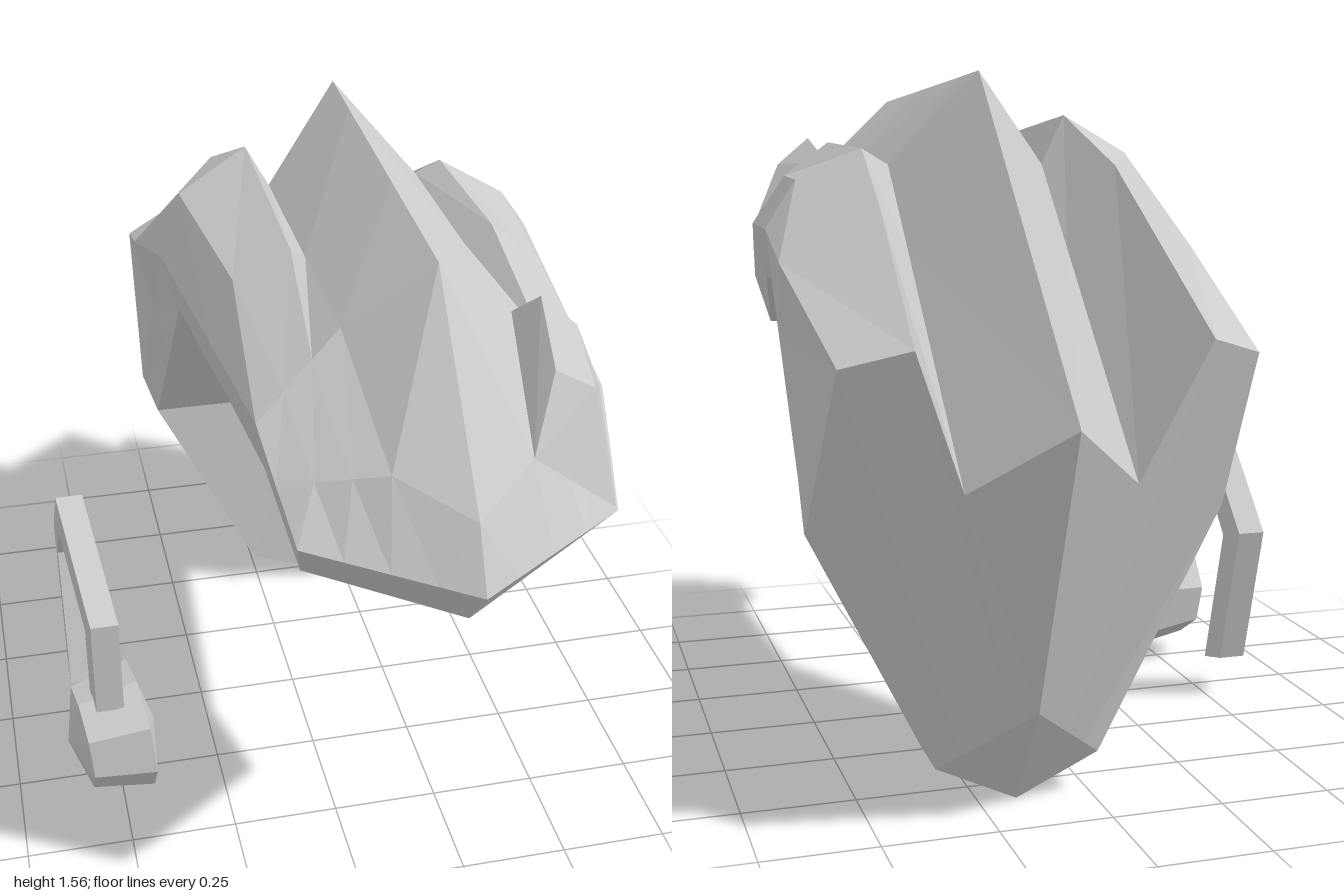
import * as THREE from 'three';
import { ConvexGeometry } from 'three/addons/geometries/ConvexGeometry.js';

const grey = new THREE.MeshStandardMaterial({ color: 0xcccccc, flatShading: true, side: THREE.DoubleSide });
const MID = 0.165; // x of the hairpiece's centre line

// Half cross-section of points [offset from centre, y, z]: ridge, valley, lock top, lock side,
// outer rim, inner rim, underside middle. Missing top points run straight down to the rim.
function section(tops, rim, inner, under = [0, inner[1], inner[2]]) {
  const last = tops[tops.length - 1];
  const steps = 5 - tops.length;
  const fill = [];
  for (let k = 1; k < steps; k++) fill.push(last.map((v, a) => v + (rim[a] - v) * k / steps));
  return [...tops, ...fill, rim, inner, under];
}

// Sections from brow to nape; lock = [top, side] points of the raised side lock
function hairSections(lock) {
  const napeRim = [.183, .095, -.6], napeInner = [.18, .095, -.46], napeUnder = [0, .035, -.445];
  return [
    section([[0, .99, 1]], [.333, 1.03, .82], [.307, .912, .727], [0, .873, .905]),
    section([[0, 1.12, .93], [.145, 1.175, .815]], [.352, 1.11, .706], [.325, .98, .636]),
    section([[0, 1.51, .59], [.18, 1.353, .524]], [.37, 1.19, .593], [.343, 1.05, .545]),
    section([[0, 1.531, .24], [.18, 1.357, .2], ...lock[0]], [.405, 1.203, .26], [.375, 1.075, .25]),
    section([[0, 1.555, -.15], [.18, 1.36, -.2], ...lock[1]], [.452, 1.22, -.16], [.42, 1.105, -.1]),
    section([[0, 1.565, -.31], [.18, 1.18, -.385], ...lock[2]], [.453, 1, -.33], [.427, .88, -.27]),
    section([[0, .885, -1], [.18, .74, -.835], ...lock[3]], [.456, .635, -.625], [.435, .6, -.49]),
    section([[0, .25, -.75]], napeRim, napeInner, napeUnder),
    section([[0, .005, -.59]], napeRim, napeInner, napeUnder),
  ];
}

// The lock on the -x side stands taller and wider
const lowLock = [
  [[.235, 1.406, .22], [.34, 1.325, .24]],
  [[.235, 1.396, -.18], [.375, 1.326, -.12]],
  [[.245, 1.28, -.4], [.455, 1.16, -.36]],
  [[.285, 1.03, -.87], [.42, .99, -.8]],
];
const tallLock = [
  [[.231, 1.42, .28], [.353, 1.35, .26]],
  [[.24, 1.47, -.18], [.405, 1.384, -.14]],
  [[.285, 1.36, -.4], [.49, 1.175, -.35]],
  [[.325, 1.03, -.87], [.453, .99, -.8]],
];

// Skins the sections of both halves into one closed shell
function hairGeometry() {
  const out = [];
  for (const [side, lock] of [[1, lowLock], [-1, tallLock]]) {
    const pts = hairSections(lock).map((row) => row.map(([h, y, z]) => new THREE.Vector3(MID + side * h, y, z)));
    const tri = (a, b, c) => {
      const area = b.clone().sub(a).cross(c.clone().sub(a)).length();
      if (area < 1e-6) return;
      for (const p of side > 0 ? [a, b, c] : [a, c, b]) out.push(p.x, p.y, p.z);
    };
    const n = pts.length - 1, m = pts[0].length - 1;
    for (let i = 0; i < n; i++) {
      for (let j = 0; j < m; j++) {
        tri(pts[i][j], pts[i][j + 1], pts[i + 1][j]);
        tri(pts[i][j + 1], pts[i + 1][j + 1], pts[i + 1][j]);
      }
    }
    // close the brow edge and the nape
    for (let j = 0; j < m - 1; j++) {
      tri(pts[0][m], pts[0][j + 1], pts[0][j]);
      tri(pts[n][m], pts[n][j], pts[n][j + 1]);
    }
  }
  const g = new THREE.BufferGeometry();
  g.setAttribute('position', new THREE.Float32BufferAttribute(out, 3));
  g.computeVertexNormals();
  return g;
}

// Small raised tuft over the +x brow
function tuftGeometry() {
  return new ConvexGeometry([
    [.31, 1.175, .815], [.373, 1.32, .727], [.383, 1.414, .59], [.345, 1.353, .53],
    [.463, 1.345, .6], [.46, 1.27, .73], [.53, 1.19, .59], [.495, 1.035, .815],
  ].map((p) => new THREE.Vector3(...p)));
}

// Bent flat-sided hook, drawn as [z, y] and given thickness along x
function hookGeometry() {
  const outline = [
    [.365, .3], [.365, .55], [0, .678], [-.215, .455], [-.115, .107], [-.02, .083],
    [-.12, .43], [.01, .578], [.288, .487], [.288, .3],
  ].map((p) => new THREE.Vector2(...p));
  const g = new THREE.ExtrudeGeometry(new THREE.Shape(outline), { depth: 0.065, bevelEnabled: false });
  g.rotateY(-Math.PI / 2).translate(-0.525, 0, 0);
  const pos = g.attributes.position;
  for (let i = 0; i < pos.count; i++) {
    pos.setX(i, pos.getX(i) + 0.1 * Math.max(0, pos.getZ(i))); // front arm leans inward
  }
  g.computeVertexNormals();
  return g;
}

// Eight-sided bead with shallow pointed ends, lying along x
function beadGeometry() {
  const profile = [[0, -.11], [.125, -.075], [.157, .07], [0, .105]].map((p) => new THREE.Vector2(...p));
  const g = new THREE.LatheGeometry(profile, 8);
  g.rotateY(0.2).rotateZ(-Math.PI / 2 + 0.06).rotateY(0.12);
  return g.translate(-0.515, 0.185, 0.3);
}

export function createModel() {
  const model = new THREE.Group();
  const add = (parent, name, geometry) => {
    const mesh = new THREE.Mesh(geometry, grey);
    mesh.name = name;
    parent.add(mesh);
  };
  const hair = new THREE.Group();
  hair.name = 'hairpiece';
  add(hair, 'hairShell', hairGeometry());
  add(hair, 'browTuft', tuftGeometry());

  const earring = new THREE.Group();
  earring.name = 'earring';
  add(earring, 'earringHook', hookGeometry());
  add(earring, 'earringBead', beadGeometry());

  model.add(hair, earring);
  return model;
}
